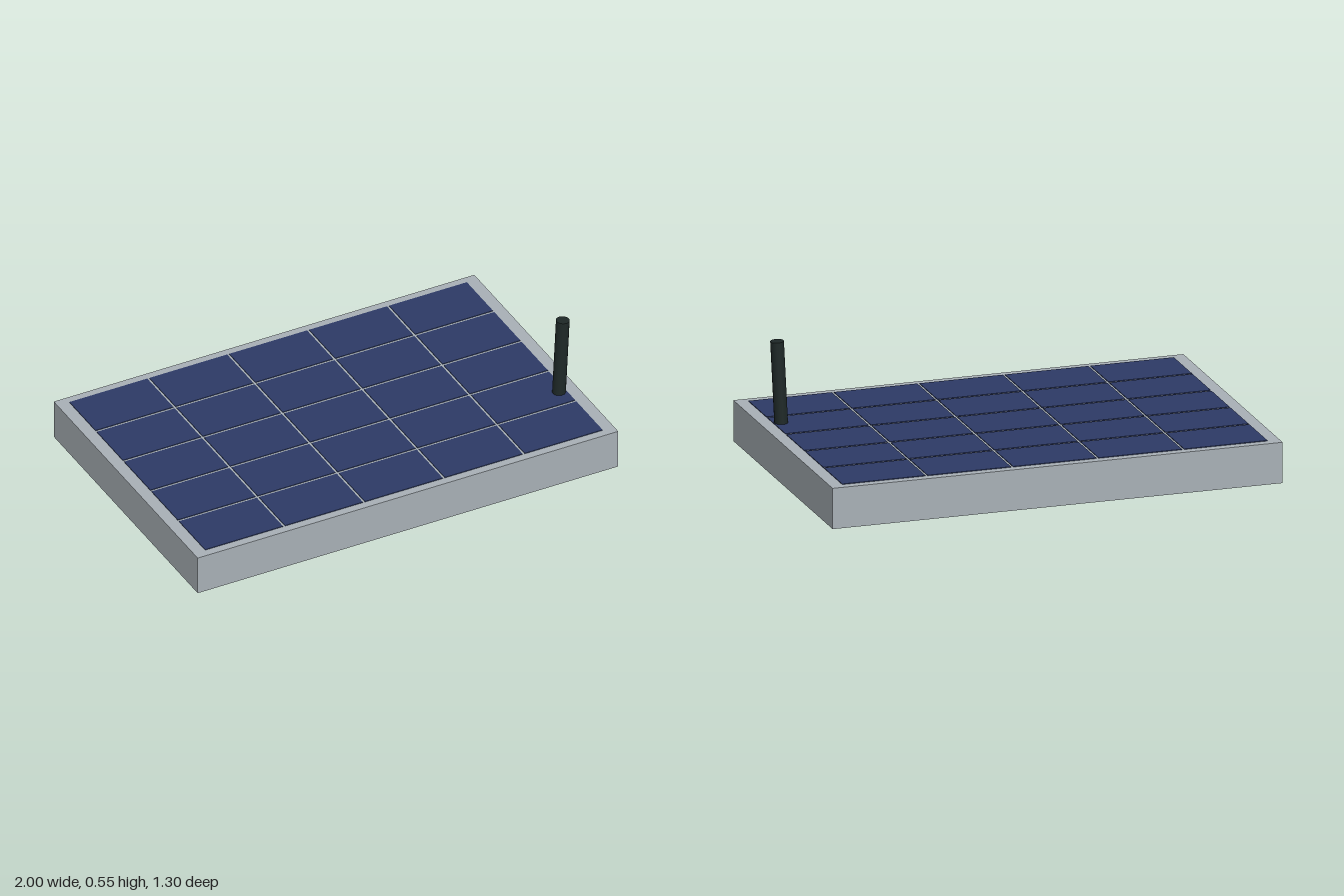
import * as THREE from 'three';

const material = (name, color) => {
  const m = new THREE.MeshStandardMaterial({ color });
  m.name = name;
  return m;
};

export function createModel() {
  const model = new THREE.Group();
  model.name = 'solarPanel';
  const grey = material('frame grey', 0xa8b0b6);
  const blue = material('cell blue', 0x2d3a66);
  const black = material('antenna black', 0x1e2827);

  const add = (parent, name, geometry, mat, x, y, z) => {
    const mesh = new THREE.Mesh(geometry, mat);
    mesh.name = name;
    mesh.position.set(x, y, z);
    parent.add(mesh);
    return mesh;
  };

  // Solid tray
  add(model, 'frame', new THREE.BoxGeometry(2, 0.18, 1.3), grey, 0, 0.09, 0);

  // Five by five grid of thin cells on the top face
  const cells = new THREE.Group();
  cells.name = 'cells';
  model.add(cells);
  const cellGeometry = new THREE.BoxGeometry(0.37, 0.004, 0.236);
  for (let row = -2; row <= 2; row++) {
    for (let col = -2; col <= 2; col++) {
      add(cells, 'cell', cellGeometry, blue, col * 0.38, 0.181, row * 0.2475);
    }
  }

  // Short antenna leaning slightly outwards
  const antenna = add(model, 'antenna', new THREE.CylinderGeometry(0.029, 0.029, 0.37, 16),
    black, 0.922, 0.36, 0.28);
  antenna.rotation.z = -0.05;

  return model;
}
